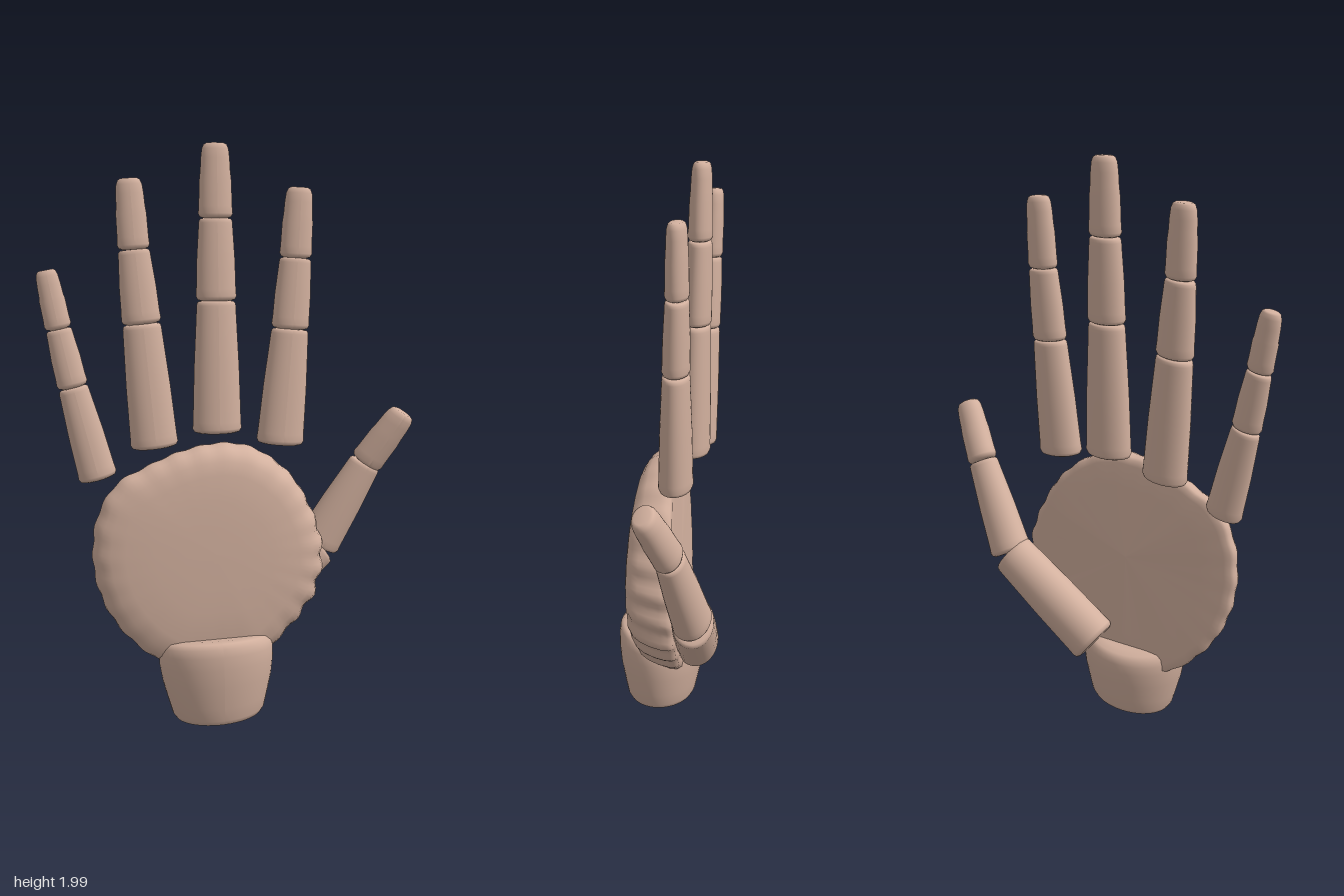
import * as THREE from 'three';

const skin = new THREE.MeshStandardMaterial({ color: 0xd2b09e });
skin.name = 'skin';

function addMesh(parent, name, geometry) {
  const mesh = new THREE.Mesh(geometry, skin);
  mesh.name = name;
  parent.add(mesh);
  return mesh;
}

// One finger bone: a tapered oval barrel with softened rims, laid from a to b.
function bone(a, b, r0, r1, depth, isTip) {
  const start = new THREE.Vector3(...a), dir = new THREE.Vector3(...b).sub(start);
  const len = dir.length(), f = 0.016, dome = isTip ? 0.05 : f;
  const rAt = y => r0 + (r1 - r0) * y / len;
  const top = rAt(len - dome);
  const profile = [
    [0, 0], [r0 - f * 1.2, 0], [r0 - f * 0.35, f * 0.3], [r0, f], [rAt(f * 2.5), f * 2.5],
    [rAt(len * 0.5) + 0.002, len * 0.5],
    [rAt(len - dome * 1.8), len - dome * 1.8], [top, len - dome],
    [top * (isTip ? 0.93 : 0.97), len - dome * 0.4],
    [top * (isTip ? 0.8 : 0.88), len - dome * 0.1],
    [top * (isTip ? 0.6 : 0.75), len], [0, len],
  ].map(p => new THREE.Vector2(...p));
  const g = new THREE.LatheGeometry(profile, 32);
  g.scale(1, 1, depth);
  g.computeVertexNormals();
  const y = dir.normalize();
  const x = new THREE.Vector3().crossVectors(y, new THREE.Vector3(0, 0, 1)).normalize();
  const z = new THREE.Vector3().crossVectors(x, y);
  g.applyMatrix4(new THREE.Matrix4().makeBasis(x, y, z).setPosition(start));
  return g;
}

// joints: [x, y, z, radius below the joint, radius above the joint]
function digit(parent, name, joints, depth) {
  const group = new THREE.Group();
  group.name = name;
  for (let i = 0; i < joints.length - 1; i++) {
    const p = joints[i], q = joints[i + 1], last = i === joints.length - 2;
    addMesh(group, `${name}Bone${i + 1}`,
      bone(p.slice(0, 3), q.slice(0, 3), p[4], q[3], depth, last));
  }
  parent.add(group);
}

// Palm: outline rings from the flat back, round the puckered rim, to the domed front.
function palmGeometry() {
  const cx = -0.1, cy = 0.62, n = 144;
  const outline = new THREE.CatmullRomCurve3([
    [0.315, 0.56], [0.295, 0.67], [0.25, 0.77], [0.2, 0.85], [0.12, 0.925], [0.03, 0.975],
    [-0.07, 0.99], [-0.2, 0.97], [-0.33, 0.92], [-0.43, 0.865], [-0.495, 0.76], [-0.515, 0.62],
    [-0.495, 0.49], [-0.44, 0.37], [-0.35, 0.265], [-0.27, 0.21], [-0.1, 0.2], [0.08, 0.21],
    [0.15, 0.265], [0.23, 0.345], [0.29, 0.43],
  ].map(p => new THREE.Vector3(p[0], p[1], 0)), true);
  // [scale of outline, 0 = back surface to 1 = front surface, pucker strength]
  const rings = [
    [0, 0, 0], [0.35, 0, 0], [0.7, 0, 0.1], [0.92, 0, 0.4], [0.975, 0.03, 0.8], [0.995, 0.12, 1],
    [1, 0.25, 1], [0.99, 0.45, 1], [0.965, 0.65, 1], [0.93, 0.8, 0.8], [0.86, 0.92, 0.5],
    [0.74, 0.98, 0.2], [0.5, 1, 0], [0.25, 1, 0], [0, 1, 0],
  ];
  const pos = [], index = [];
  for (const [s, t, pucker] of rings) {
    for (let j = 0; j < n; j++) {
      const p = outline.getPointAt(j / n);
      const dx = p.x - cx, dy = p.y - cy, a = Math.atan2(dy, dx);
      const thumbSide = Math.exp(-((a + 0.35) ** 2) / 0.25);
      const wave = Math.cos(a * 26) * (0.007 + 0.014 * thumbSide) * pucker;
      const k = s * (1 - 0.04 * t * thumbSide) + wave;
      const back = -0.012 + (-0.05 * Math.cos(a) + 0.024 * Math.sin(a)) * s;
      const front = 0.136 - 0.012 * s * s;
      pos.push(cx + dx * k, cy + dy * k, back + (front - back) * t);
    }
  }
  for (let i = 0; i < rings.length - 1; i++) {
    for (let j = 0; j < n; j++) {
      const a = i * n + j, b = i * n + (j + 1) % n;
      index.push(a, b, b + n, a, b + n, a + n);
    }
  }
  const g = new THREE.BufferGeometry();
  g.setAttribute('position', new THREE.Float32BufferAttribute(pos, 3));
  g.setIndex(index);
  g.computeVertexNormals();
  return g;
}

// Wrist: a bulging oval stump, its top sloping down to the back.
function wristGeometry() {
  const profile = [
    [0, 0.015], [0.135, 0.015], [0.153, 0.021], [0.164, 0.038], [0.176, 0.085], [0.194, 0.16],
    [0.202, 0.22], [0.203, 0.26], [0.197, 0.285], [0.183, 0.3], [0.15, 0.305], [0, 0.305],
  ].map(p => new THREE.Vector2(...p));
  const g = new THREE.LatheGeometry(profile, 48);
  const p = g.attributes.position;
  for (let i = 0; i < p.count; i++) {
    const x = p.getX(i), y = p.getY(i), z = p.getZ(i), t = y / 0.305;
    p.setXYZ(i, x - 0.08 - 0.012 * t, y + 0.05 * x * (1 - t * 0.5) + 0.16 * z * t * t - 0.004 * t,
      z * 0.78 + 0.062);
  }
  g.computeVertexNormals();
  return g;
}

export function createModel() {
  const hand = new THREE.Group();
  hand.name = 'hand';
  addMesh(hand, 'palm', palmGeometry());
  addMesh(hand, 'wrist', wristGeometry());

  digit(hand, 'littleFinger', [
    [-0.485, 0.875, 0.01, 0, 0.066], [-0.563, 1.19, 0.0, 0.05, 0.052],
    [-0.605, 1.385, -0.008, 0.043, 0.045], [-0.642, 1.58, -0.015, 0.037, 0]], 0.7);
  digit(hand, 'ringFinger', [
    [-0.285, 0.967, -0.042, 0, 0.083], [-0.323, 1.395, -0.053, 0.066, 0.068],
    [-0.345, 1.645, -0.062, 0.054, 0.055], [-0.358, 1.88, -0.07, 0.045, 0]], 0.68);
  digit(hand, 'middleFinger', [
    [-0.062, 1.01, -0.057, 0, 0.087], [-0.062, 1.47, -0.068, 0.068, 0.071],
    [-0.062, 1.75, -0.076, 0.058, 0.06], [-0.062, 2.0, -0.08, 0.047, 0]], 0.68);
  digit(hand, 'indexFinger', [
    [0.162, 0.963, -0.045, 0, 0.085], [0.198, 1.37, -0.053, 0.066, 0.067],
    [0.217, 1.615, -0.06, 0.056, 0.057], [0.23, 1.855, -0.062, 0.047, 0]], 0.68);
  digit(hand, 'thumb', [
    [-0.02, 0.285, -0.085, 0, 0.1], [0.33, 0.56, -0.14, 0.088, 0.084],
    [0.5, 0.87, -0.1, 0.06, 0.062], [0.622, 1.062, -0.045, 0.052, 0]], 0.8);
  return hand;
}
